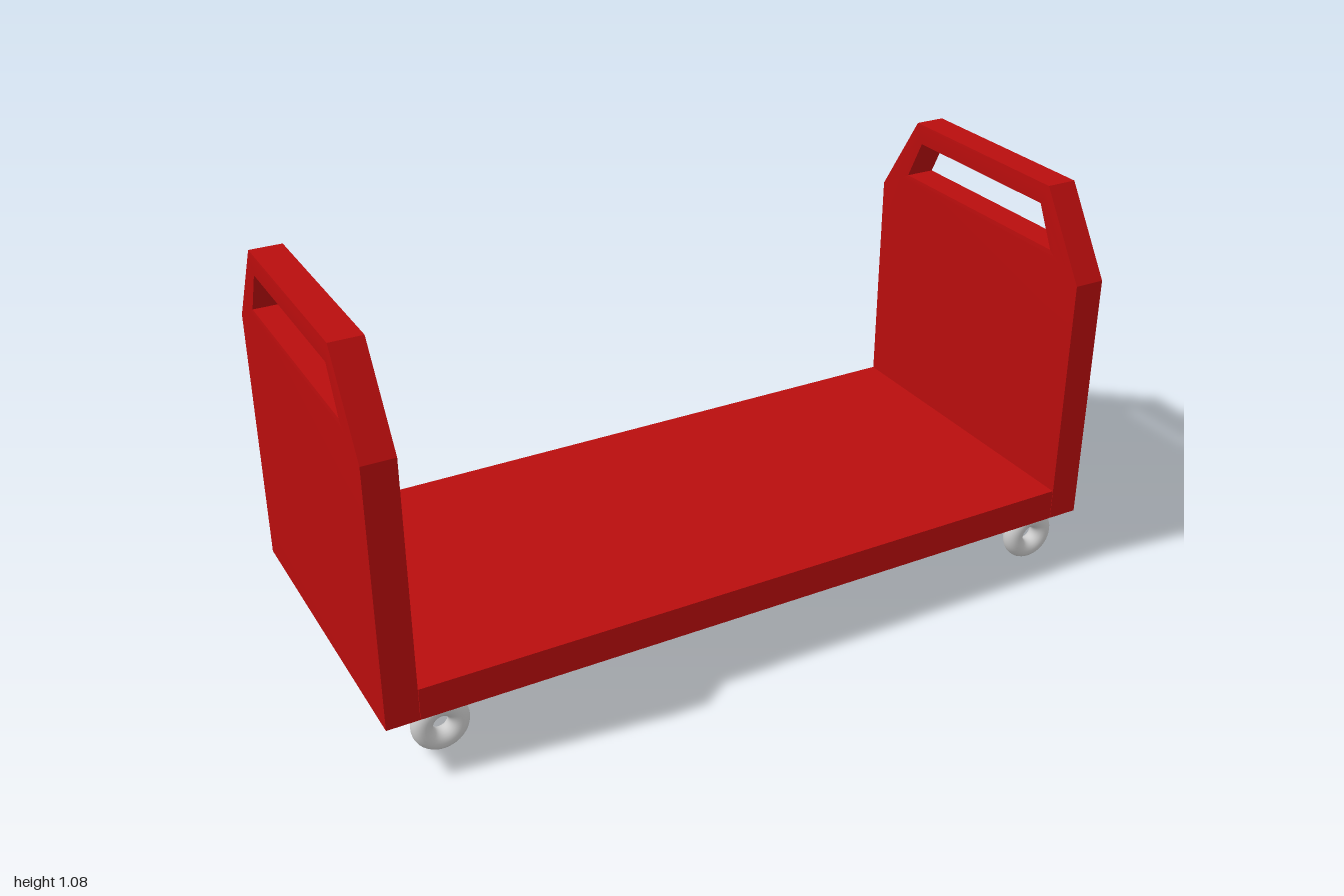
import * as THREE from 'three';
import { toCreasedNormals } from 'three/addons/utils/BufferGeometryUtils.js';

const red = new THREE.MeshStandardMaterial({ color: 0xb80d0d });
const grey = new THREE.MeshStandardMaterial({ color: 0xcccccc });

const HALF_DEPTH = 0.43, BOTTOM = 0.165, THICK = 0.085;

function add(parent, name, geometry, material, x = 0, y = 0, z = 0) {
  const mesh = new THREE.Mesh(geometry, material);
  mesh.name = name;
  mesh.position.set(x, y, z);
  parent.add(mesh);
  return mesh;
}

// End panel: tapered outline with a trapezoid hand hole, softly shaded around the handle
function panelGeometry() {
  const points = list => list.map(([x, y]) => new THREE.Vector2(x, y));
  const shape = new THREE.Shape(points([
    [-HALF_DEPTH, BOTTOM], [HALF_DEPTH, BOTTOM], [HALF_DEPTH, 0.855],
    [0.285, 1.08], [-0.285, 1.08], [-HALF_DEPTH, 0.855],
  ]));
  shape.holes.push(new THREE.Path(points([
    [-0.315, 0.915], [-0.26, 1.025], [0.26, 1.025], [0.315, 0.915],
  ])));
  // The almost flat bevel only adds a loop of faces that limits the soft shading
  const flat = new THREE.ExtrudeGeometry(shape, {
    depth: THICK - 0.002, bevelThickness: 0.001, bevelSize: 0.018, bevelOffset: -0.018, bevelSegments: 1,
  });
  const soft = toCreasedNormals(flat, THREE.MathUtils.degToRad(100));
  const crisp = toCreasedNormals(flat, 0.1);
  const pos = soft.attributes.position, n = soft.attributes.normal, c = crisp.attributes.normal;
  for (let i = 0; i < pos.count; i++) {
    if (pos.getY(i) < 0.8) n.setXYZ(i, c.getX(i), c.getY(i), c.getZ(i));
  }
  soft.translate(0, 0, 0.001 - THICK / 2);
  soft.rotateY(Math.PI / 2);
  return soft;
}

// Caster: ring wheel under an oval swivel plate and a short stem
function caster(x, z) {
  const group = new THREE.Group();
  group.name = 'caster';
  group.position.set(x, 0, z);
  const offset = Math.sign(x) * 0.022;
  add(group, 'wheel', new THREE.TorusGeometry(0.047, 0.027, 20, 40), grey, 0, 0.074, 0);
  const oval = (name, radius, height, y) => {
    const geometry = new THREE.CylinderGeometry(radius, radius, height, 32);
    geometry.scale(1.8, 1, 1);
    add(group, name, geometry, grey, offset, y, 0);
  };
  oval('swivelPlate', 0.026, 0.012, 0.147);
  oval('stem', 0.017, 0.016, 0.159);
  return group;
}

export function createModel() {
  const model = new THREE.Group();
  model.name = 'platformCart';

  // Deck between the two end panels
  add(model, 'deck', new THREE.BoxGeometry(2 - 2 * THICK, 0.085, 2 * HALF_DEPTH), red, 0, BOTTOM + 0.0425, 0);

  const panel = panelGeometry();
  add(model, 'leftPanel', panel, red, 1 - THICK / 2);
  add(model, 'rightPanel', panel, red, THICK / 2 - 1);

  for (const x of [-0.84, 0.913]) {
    for (const z of [-0.345, 0.345]) model.add(caster(x, z));
  }
  return model;
}
